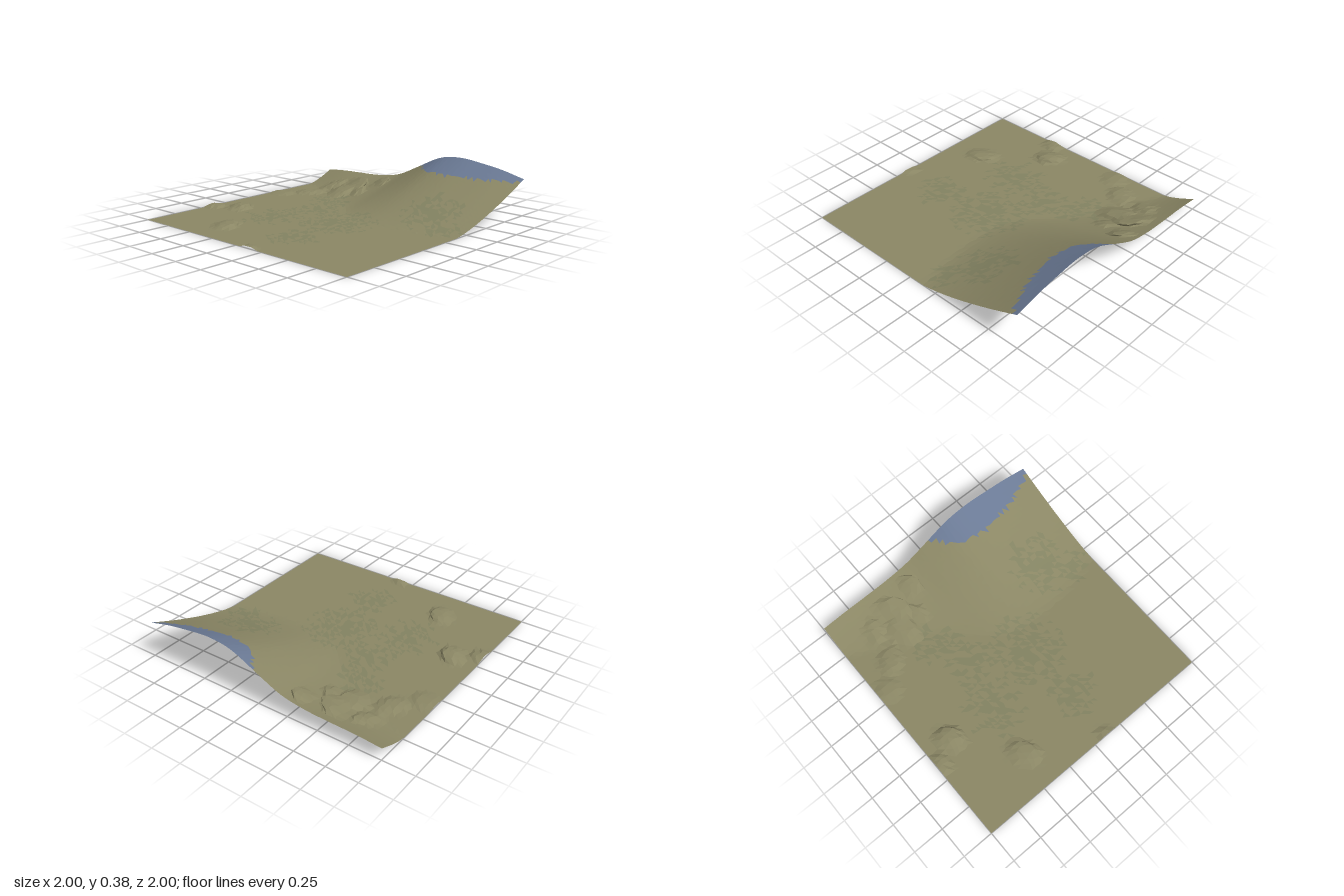
import * as THREE from 'three';

const SEG = 50;

// Piecewise curve through [position, value] points, eased with Catmull-Rom slopes
function curve(points) {
  return (p) => {
    let i = 0;
    while (i < points.length - 2 && p > points[i + 1][0]) i++;
    const at = (k) => points[Math.min(Math.max(k, 0), points.length - 1)];
    const [a, b, c, d] = [at(i - 1), at(i), at(i + 1), at(i + 2)];
    const w = c[0] - b[0];
    const t = Math.min(Math.max((p - b[0]) / w, 0), 1);
    const m0 = ((c[1] - a[1]) / (c[0] - a[0])) * w;
    const m1 = ((d[1] - b[1]) / (d[0] - b[0])) * w;
    const t2 = t * t, t3 = t2 * t;
    return (2 * t3 - 3 * t2 + 1) * b[1] + (t3 - 2 * t2 + t) * m0
      + (3 * t2 - 2 * t3) * c[1] + (t3 - t2) * m1;
  };
}

// Height of the hill along its high edge, and the x where its foot begins
const edgeHeight = curve([[-1, 0.095], [-0.8, 0.11], [-0.6, 0.115], [-0.4, 0.125], [-0.2, 0.16],
  [0, 0.25], [0.1, 0.3], [0.2, 0.345], [0.3, 0.37], [0.45, 0.378], [0.6, 0.362], [0.8, 0.332], [1, 0.285]]);
const footX = curve([[-1, 0.73], [-0.7, 0.6], [-0.4, 0.46], [-0.2, 0.3], [0, 0.12],
  [0.2, 0.04], [0.45, 0.03], [0.7, 0.06], [1, 0.12]]);

function hill(x, z) {
  const foot = footX(z);
  const t = (x - foot) / (1 - foot);
  return t > 0 ? edgeHeight(z) * Math.pow(t, 1.35) : 0;
}

// Rock outcrops: x, z, radius across, radius along, turn, height, lean to the front
const rocks = [
  [-0.27, -0.8, 0.13, 0.1, 0.6, 0.033, 0.03],
  [-0.38, -0.97, 0.1, 0.08, -0.4, 0.02, 0.01],
  [-0.71, -0.45, 0.15, 0.1, 0.5, 0.026, 0.03],
  [-1, 0.12, 0.09, 0.07, 0.5, 0.015, 0.01],
  [0.32, -0.92, 0.11, 0.12, 0, 0.014, 0.01],
  [0.5, -0.76, 0.15, 0.1, -0.6, 0.02, 0.01],
  [0.63, -0.54, 0.16, 0.12, 0.4, 0.035, 0.03],
  [0.77, -0.5, 0.17, 0.1, 0.6, 0.045, 0.06],
  [0.74, -0.72, 0.14, 0.08, -0.5, 0.025, 0.02],
  [0.66, -0.37, 0.1, 0.06, 0.4, 0.025, 0.02],
  [0.85, -0.28, 0.1, 0.07, 0.4, 0.035, 0.04],
];

function outcrop(x, z) {
  let height = 0, lean = 0;
  for (const [cx, cz, rx, rz, turn, h, push] of rocks) {
    const c = Math.cos(turn), s = Math.sin(turn);
    const u = ((x - cx) * c - (z - cz) * s) / rx;
    const v = ((x - cx) * s + (z - cz) * c) / rz;
    const f = 1 - THREE.MathUtils.smoothstep(Math.hypot(u, v), 0.45, 1.05);
    height = Math.max(height, h * f);
    lean = Math.max(lean, push * f);
  }
  return { height, lean };
}

// Repeatable value from 0 to 1 for a pair of numbers
function hash(a, b) {
  const n = Math.sin(a * 127.1 + b * 311.7) * 43758.5453;
  return n - Math.floor(n);
}

// Centres of the darker grass: x, z, radius
const patches = [[-0.3, -0.4, 0.25], [0.08, -0.3, 0.2], [0.35, 0.62, 0.25],
  [0.2, 0.83, 0.15], [-0.6, 0.15, 0.2], [-0.1, 0.1, 0.3], [0.35, -0.4, 0.2]];

function isDarkGrass(x, z) {
  let near = 0;
  for (const [cx, cz, r] of patches) near = Math.max(near, 1 - Math.hypot(x - cx, z - cz) / r);
  return near > 0 && hash(x, z) < 0.2 + near * 0.6;
}

export function createModel() {
  const group = new THREE.Group();
  group.name = 'terrain';

  // Irregular grid raised into hill and rocks
  const plane = new THREE.PlaneGeometry(2, 2, SEG, SEG).rotateX(-Math.PI / 2);
  const pos = plane.attributes.position;
  for (let i = 0; i < pos.count; i++) {
    let x = pos.getX(i), z = pos.getZ(i);
    const innerX = Math.abs(x) < 0.999, innerZ = Math.abs(z) < 0.999;
    if (innerX) x += (hash(i, 1) - 0.5) * 0.02;
    if (innerZ) z += (hash(i, 2) - 0.5) * 0.02;
    const rock = outcrop(x, z);
    const y = hill(x, z) + rock.height;
    if (innerX && innerZ) {
      x = Math.min(x + rock.lean * 0.5, 0.99);
      z += rock.lean;
    }
    pos.setXYZ(i, x, y, z);
  }

  // Sort the triangles by ground cover
  const tri = plane.toNonIndexed().attributes.position.array;
  const cover = { grass: [], darkGrass: [], bluePeak: [] };
  for (let i = 0; i < tri.length; i += 9) {
    const x = (tri[i] + tri[i + 3] + tri[i + 6]) / 3;
    const y = (tri[i + 1] + tri[i + 4] + tri[i + 7]) / 3;
    const z = (tri[i + 2] + tri[i + 5] + tri[i + 8]) / 3;
    const kind = y > 0.268 ? 'bluePeak' : isDarkGrass(x, z) ? 'darkGrass' : 'grass';
    cover[kind].push(...tri.subarray(i, i + 9));
  }

  const colors = { grass: 0x8b8765, darkGrass: 0x838362, bluePeak: 0x6b7a95 };
  for (const name of Object.keys(cover)) {
    const geometry = new THREE.BufferGeometry();
    geometry.setAttribute('position', new THREE.Float32BufferAttribute(cover[name], 3));
    geometry.computeVertexNormals();
    const mesh = new THREE.Mesh(geometry, new THREE.MeshStandardMaterial({
      color: colors[name], flatShading: true, side: THREE.DoubleSide,
    }));
    mesh.name = name;
    group.add(mesh);
  }
  return group;
}
